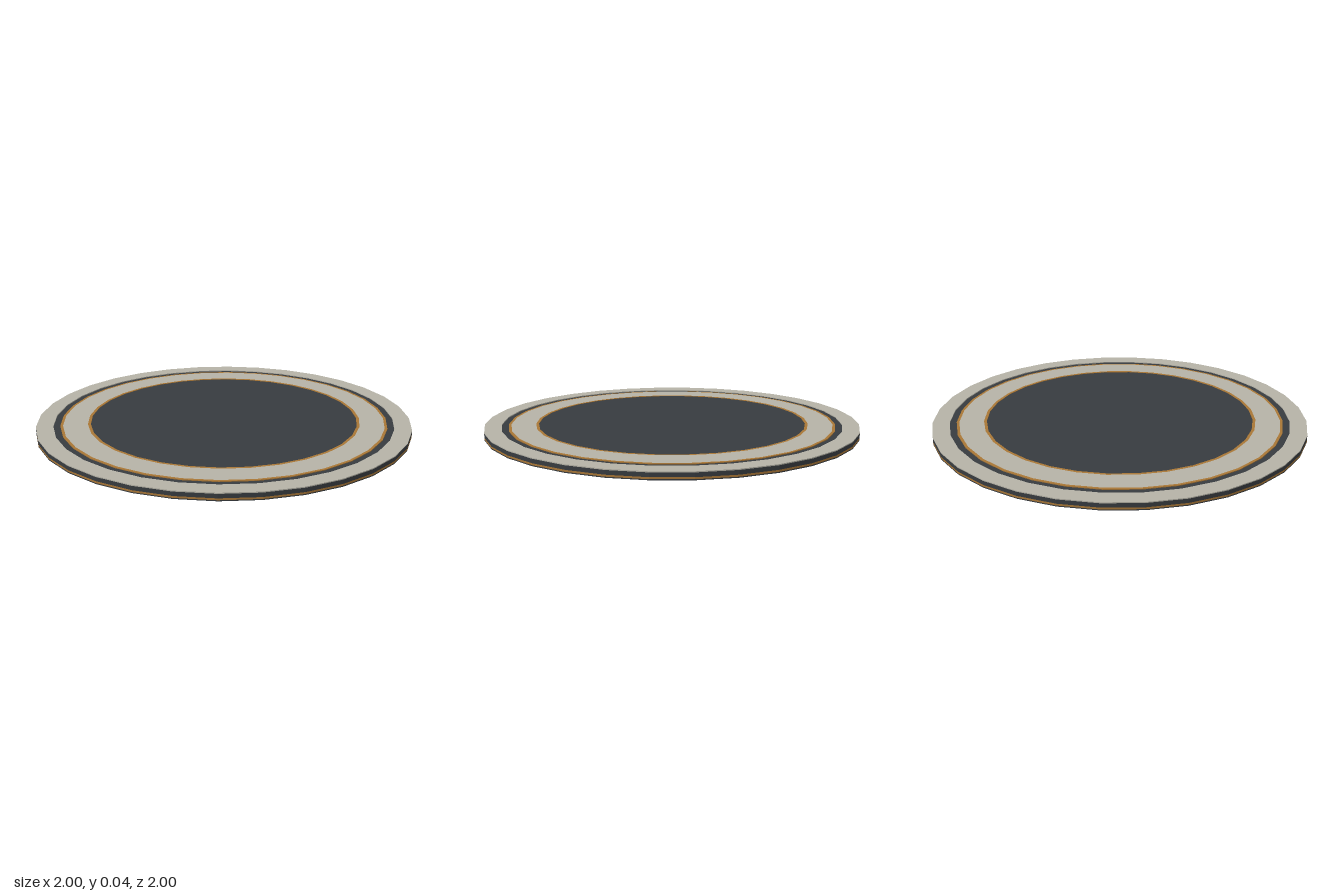
import * as THREE from 'three';

const SIDES = 32;
const material = (color) => new THREE.MeshStandardMaterial({ color, flatShading: true });

export function createModel() {
  const model = new THREE.Group();
  const dark = material(0x373b3f);
  const pale = material(0xb5b2a6);
  const bronze = material(0xa87636);

  const add = (name, geometry, mat) => {
    const mesh = new THREE.Mesh(geometry, mat);
    mesh.name = name;
    model.add(mesh);
    return mesh;
  };

  // Solid faceted disc between two heights
  const disc = (name, radius, bottom, top, mat) => {
    const mesh = add(name, new THREE.CylinderGeometry(radius, radius, top - bottom, SIDES), mat);
    mesh.position.y = (bottom + top) / 2;
  };

  // Faceted ring with a rectangular cross-section
  const ring = (name, inner, outer, bottom, top, mat) => {
    const profile = [[inner, bottom], [outer, bottom], [outer, top], [inner, top], [inner, bottom]]
      .map(([r, y]) => new THREE.Vector2(r, y));
    add(name, new THREE.LatheGeometry(profile, SIDES), mat);
  };

  // Stacked body: foot, bronze edge band and main plate
  disc('basePlate', 1, 0, 0.005, dark);
  ring('edgeBand', 0.95, 1, 0.005, 0.014, bronze);
  disc('mainPlate', 1, 0.014, 0.035, dark);

  // Concentric inlays on the top
  ring('outerRing', 0.91, 1, 0.035, 0.04, pale);
  ring('outerTrim', 0.86, 0.874, 0.03, 0.039, bronze);
  ring('innerRing', 0.73, 0.86, 0.03, 0.039, pale);
  ring('innerTrim', 0.715, 0.73, 0.03, 0.039, bronze);
  disc('centrePanel', 0.715, 0.03, 0.037, dark);

  return model;
}
